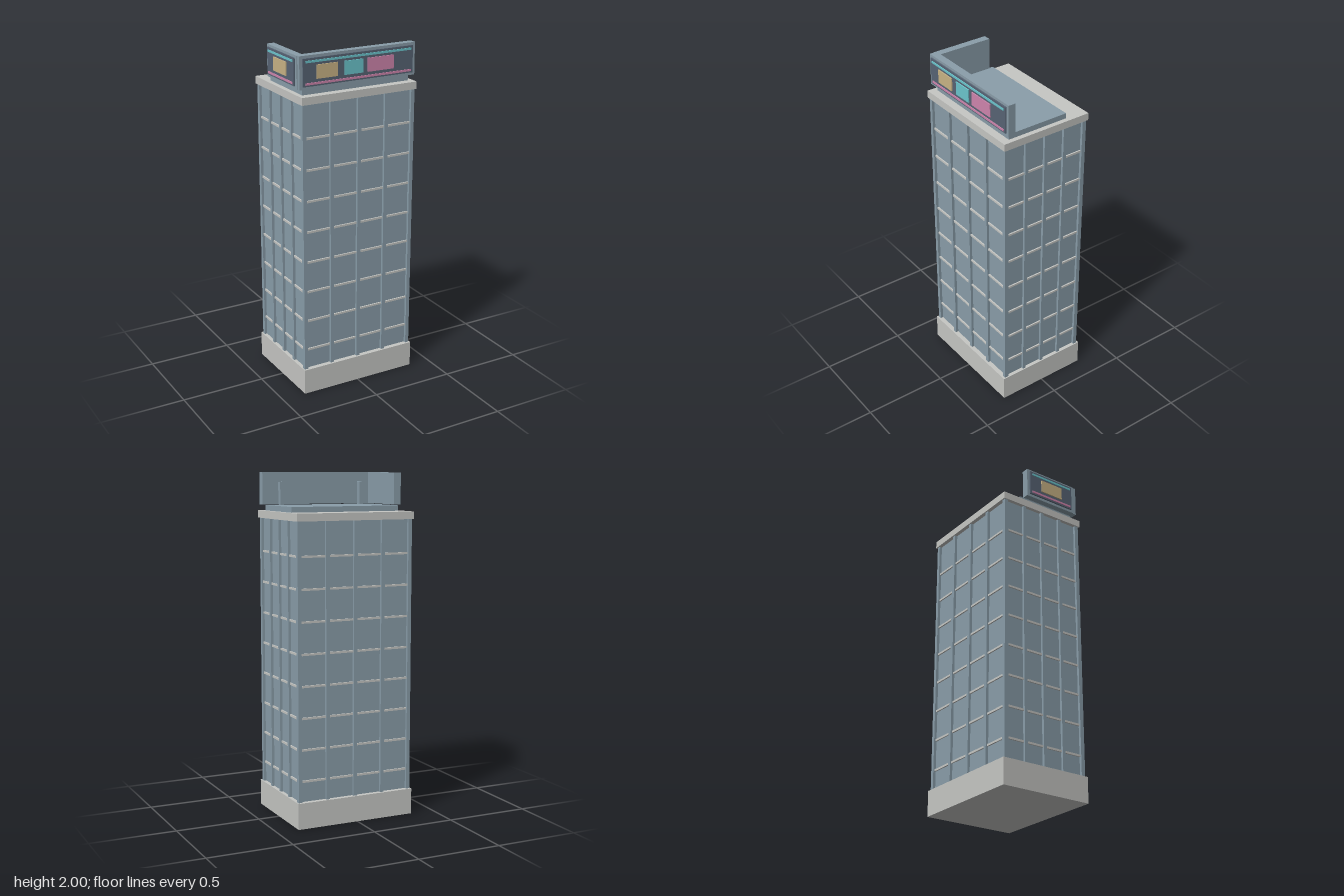
import * as THREE from 'three';

function material(name, color) {
  const m = new THREE.MeshStandardMaterial({ color });
  m.name = name;
  return m;
}

export function createModel() {
  const model = new THREE.Group();
  model.name = 'officeTower';
  const blue = material('blueGrey', 0x8a9eaa);
  const stone = material('lightGrey', 0xc6c7c4);
  const slate = material('darkSlate', 0x586475);
  const cyan = material('cyan', 0x6cc6ce);
  const tan = material('tan', 0xcab486);
  const pink = material('pink', 0xd086ae);

  // Box given by its lower and upper limits on each axis
  function box(parent, name, mat, [x0, x1], [y0, y1], [z0, z1]) {
    const mesh = new THREE.Mesh(new THREE.BoxGeometry(x1 - x0, y1 - y0, z1 - z0), mat);
    mesh.position.set((x0 + x1) / 2, (y0 + y1) / 2, (z0 + z1) / 2);
    mesh.name = name;
    parent.add(mesh);
  }
  const span = (centre, half) => [centre - half, centre + half];
  const CX = 0.008, CZ = -0.001;

  // Base, glazed shaft and cornice
  const shaft = [0.152, 1.737];
  box(model, 'base', stone, span(CX, 0.364), [0, 0.152], span(CZ, 0.285));
  box(model, 'glassShaft', blue, span(CX, 0.342), shaft, span(CZ, 0.257));
  box(model, 'cornice', stone, span(CX, 0.364), [1.737, 1.78], span(CZ, 0.281));

  // Floor bands
  for (let i = 0; i < 8; i++)
    box(model, 'floorBand', stone, span(CX, 0.350), span(0.271 + i * 0.1817, 0.006), span(CZ, 0.265));

  // Mullions on the four faces, with posts at the corners
  for (const side of [-1, 1]) {
    for (let i = -1; i <= 1; i++) {
      box(model, 'mullion', blue, span(CX + i * 0.1735, 0.011), shaft, span(CZ + side * 0.262, 0.011));
      box(model, 'sideMullion', blue, span(CX + side * 0.346, 0.011), shaft, span(CZ + i * 0.129, 0.01));
    }
    for (const end of [-1, 1])
      box(model, 'cornerPost', blue, span(CX + side * 0.346, 0.011), shaft, span(CZ + end * 0.261, 0.012));
  }

  // Roof plinth and sign posts
  box(model, 'roofPlinth', blue, [-0.328, 0.344], [1.78, 1.811], [-0.148, 0.232]);
  for (const x of [-0.249, 0.265])
    box(model, 'signPost', blue, span(x, 0.0115), [1.811, 1.945], [0.171, 0.201]);

  // Front sign
  const front = new THREE.Group();
  front.name = 'frontSign';
  model.add(front);
  box(front, 'signBoard', blue, [-0.356, 0.372], [1.815, 2], [0.21, 0.254]);
  box(front, 'signFace', slate, [-0.338, 0.354], [1.831, 1.985], [0.254, 0.262]);
  box(front, 'topStrip', cyan, [-0.324, 0.341], span(1.967, 0.006), [0.262, 0.266]);
  box(front, 'bottomStrip', pink, [-0.324, 0.341], span(1.846, 0.006), [0.262, 0.266]);
  const tiles = [[tan, -0.257, -0.129], [cyan, -0.086, 0.03], [pink, 0.06, 0.226]];
  for (const [mat, x0, x1] of tiles)
    box(front, 'signTile', mat, [x0, x1], [1.87, 1.947], [0.262, 0.268]);

  // Side sign
  const side = new THREE.Group();
  side.name = 'sideSign';
  model.add(side);
  box(side, 'signBoard', blue, [-0.36, -0.316], [1.815, 1.999], [-0.118, 0.232]);
  box(side, 'signFace', slate, [-0.368, -0.36], [1.831, 1.985], [-0.1, 0.212]);
  box(side, 'topStrip', cyan, [-0.372, -0.368], span(1.967, 0.006), [-0.085, 0.2]);
  box(side, 'bottomStrip', pink, [-0.372, -0.368], span(1.846, 0.006), [-0.085, 0.2]);
  box(side, 'signTile', tan, [-0.374, -0.368], [1.87, 1.947], [-0.019, 0.132]);

  return model;
}
